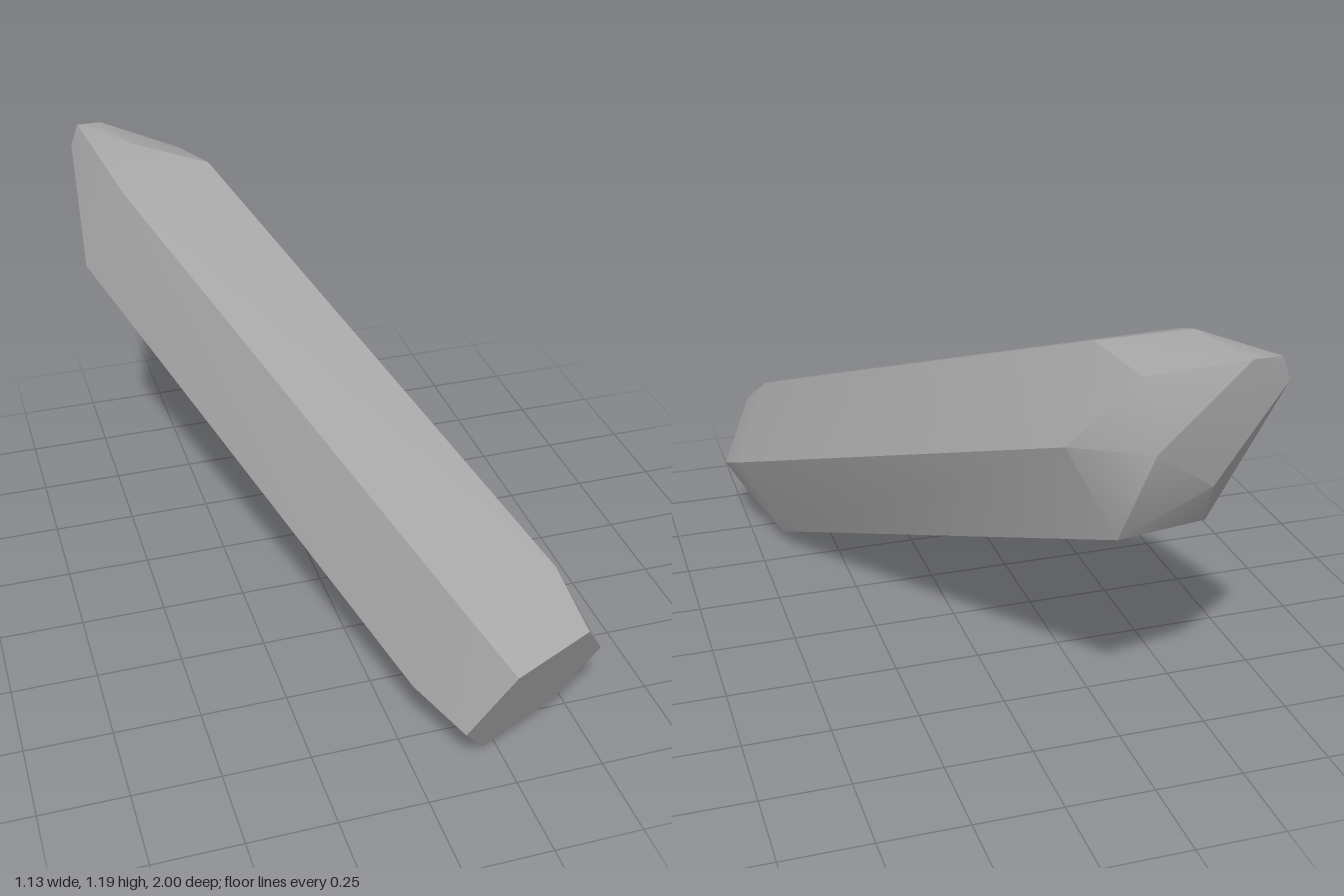
import * as THREE from 'three';
import { toCreasedNormals } from 'three/addons/utils/BufferGeometryUtils.js';
import { ConvexGeometry } from 'three/addons/geometries/ConvexGeometry.js';

const v = (x, y, z) => new THREE.Vector3(x, y, z);

// Half a hexagon ring plus its point reflection through the ring centre
function hexRing(a, b, c, centre) {
  const opposite = (p) => centre.clone().multiplyScalar(2).sub(p);
  return [a, b, c, opposite(a), opposite(b), opposite(c)];
}

export function createModel() {
  const group = new THREE.Group();
  group.name = 'crystal';
  const stone = new THREE.MeshStandardMaterial({ color: 0xa4a4a4 });
  stone.name = 'grey stone';

  // Flat front cap and the wider hexagon behind its bevel
  const cap = hexRing(v(0.11, 0.17, 0.965), v(0.23, 0.365, 1.0), v(0.46, 0.4, 0.92), v(0.338, 0.197, 0.882));
  const shoulder = hexRing(v(0.015, 0.232, 0.81), v(0.14, 0.478, 0.865), v(0.422, 0.51, 0.77), v(0.278, 0.265, 0.72));

  // The prism: the same hexagon slid along the slanting axis
  const axis = v(-0.577, 0.629, -1.452);
  const neck = shoulder.map((p) => p.clone().add(axis));

  // Irregular facets narrowing to the chisel tip
  const facets = [
    v(-0.53, 0.894, -0.835), v(-0.375, 1.185, -0.79), v(-0.205, 1.115, -0.88),
    v(-0.22, 0.94, -0.955), v(-0.38, 0.828, -0.94),
  ];
  const tip = [v(-0.505, 1.18, -1.0), v(-0.43, 1.18, -1.0), v(-0.53, 1.115, -0.997)];

  const hull = new ConvexGeometry([...cap, ...shoulder, ...neck, ...facets, ...tip]);
  const shard = new THREE.Mesh(toCreasedNormals(hull, 0.5), stone);
  shard.name = 'crystalShard';
  group.add(shard);
  return group;
}
